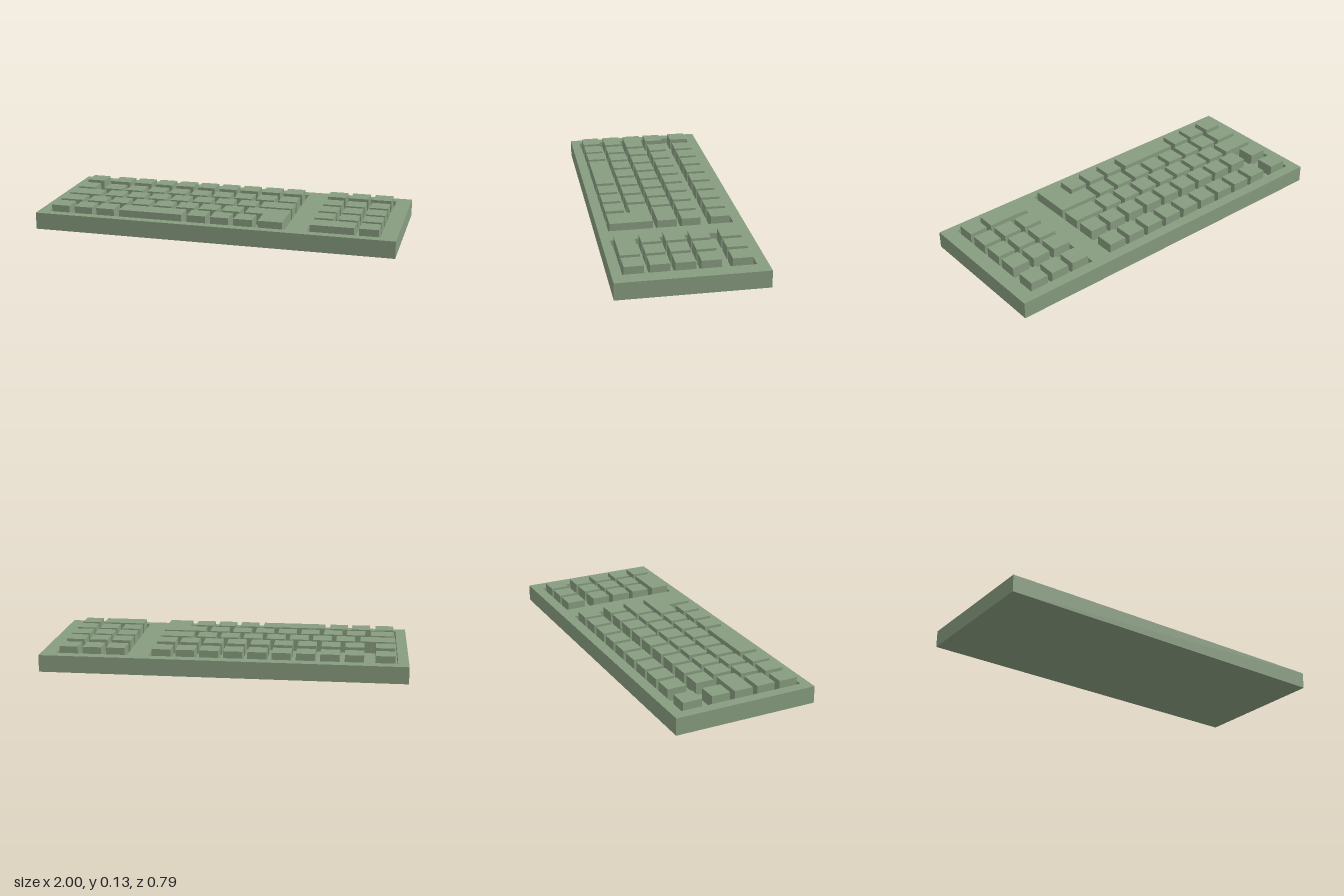
import * as THREE from 'three';

const TOP = 0.094, FLOOR = 0.062, KEY_TOP = 0.128;
const HALF_Z = 0.397, KEY = 0.103, PITCH = 0.1308;
const WELLS = [
  { name: 'mainKeyWell', x0: -0.942, x1: 0.404, z0: -0.338, z1: 0.348 },
  { name: 'numberPadWell', x0: 0.521, x1: 0.917, z0: -0.338, z1: 0.348 },
];
// front-to-back extent of each key row
const ROWS = [[-0.322, -0.217], [-0.161, -0.058], [-0.031, 0.074], [0.1, 0.202], [0.231, 0.334]];

// box without its top face; inward = true turns it into a recess
function openBox(x0, x1, y0, y1, z0, z1, inward = false) {
  const box = new THREE.BoxGeometry(x1 - x0, y1 - y0, z1 - z0);
  box.translate((x0 + x1) / 2, (y0 + y1) / 2, (z0 + z1) / 2);
  const index = Array.from(box.index.array).filter((_, i) => i < 12 || i > 17);
  box.setIndex(inward ? index.reverse() : index);
  box.clearGroups();
  const geometry = box.toNonIndexed();
  geometry.computeVertexNormals();
  return geometry;
}

// consecutive single-width keys
const run = (start, count) =>
  Array.from({ length: count }, (_, i) => [start + i * PITCH, start + i * PITCH + KEY]);

export function createModel() {
  const group = new THREE.Group();
  const material = new THREE.MeshStandardMaterial({ color: 0x879c7f, flatShading: true });
  const add = (name, geometry, parent = group) => {
    const mesh = new THREE.Mesh(geometry, material);
    mesh.name = name;
    parent.add(mesh);
    return mesh;
  };

  // case: sides and underside
  add('case', openBox(-1, 1, 0, TOP, -HALF_Z, HALF_Z));

  // top plate with two openings (shape y becomes -z)
  const plate = new THREE.Shape([[-1, -HALF_Z], [1, -HALF_Z], [1, HALF_Z], [-1, HALF_Z]]
    .map(([x, y]) => new THREE.Vector2(x, y)));
  for (const { x0, x1, z0, z1 } of WELLS) {
    plate.holes.push(new THREE.Path([[x0, -z0], [x1, -z0], [x1, -z1], [x0, -z1]]
      .map(([x, y]) => new THREE.Vector2(x, y))));
  }
  add('topPlate', new THREE.ShapeGeometry(plate).rotateX(-Math.PI / 2).translate(0, TOP, 0));

  // recesses that hold the keys
  for (const { name, x0, x1, z0, z1 } of WELLS) {
    add(name, openBox(x0, x1, FLOOR, TOP, z0, z1, true));
  }

  // keys of each row as [left edge, right edge]
  const mainRows = [
    [...run(-0.928, 1), ...run(-0.762, 9)],
    [...run(-0.928, 1), ...run(-0.762, 9)],
    [[-0.928, -0.741], ...run(-0.709, 7), [0.206, 0.388]],
    [[-0.928, -0.798], ...run(-0.766, 7)],
    [...run(-0.928, 1), ...run(-0.793, 1), ...run(-0.665, 1), [-0.532, -0.174], ...run(-0.142, 3)],
  ];
  const padRows = [...Array.from({ length: 4 }, () => run(0.537, 3)), [[0.537, 0.773], [0.8, 0.903]]];

  const keyHeight = KEY_TOP - FLOOR;
  const addKeys = (name, rows) => {
    const block = new THREE.Group();
    block.name = name;
    group.add(block);
    rows.forEach((keys, r) => {
      const [z0, z1] = ROWS[r];
      for (const [x0, x1] of keys) {
        add('key', new THREE.BoxGeometry(x1 - x0, keyHeight, z1 - z0), block)
          .position.set((x0 + x1) / 2, FLOOR + keyHeight / 2, (z0 + z1) / 2);
      }
    });
    return block;
  };
  const mainKeys = addKeys('mainKeys', mainRows);
  addKeys('numberPadKeys', padRows);

  // L-shaped return key spanning two rows
  const [a, b, c] = [ROWS[3][0], ROWS[3][1], ROWS[4][1]];
  const returnShape = new THREE.Shape(
    [[0.152, -a], [0.152, -b], [0.254, -b], [0.254, -c], [0.388, -c], [0.388, -a]]
      .map(([x, y]) => new THREE.Vector2(x, y)));
  add('returnKey', new THREE.ExtrudeGeometry(returnShape, { depth: keyHeight, bevelEnabled: false })
    .rotateX(-Math.PI / 2).translate(0, FLOOR, 0), mainKeys);

  return group;
}
